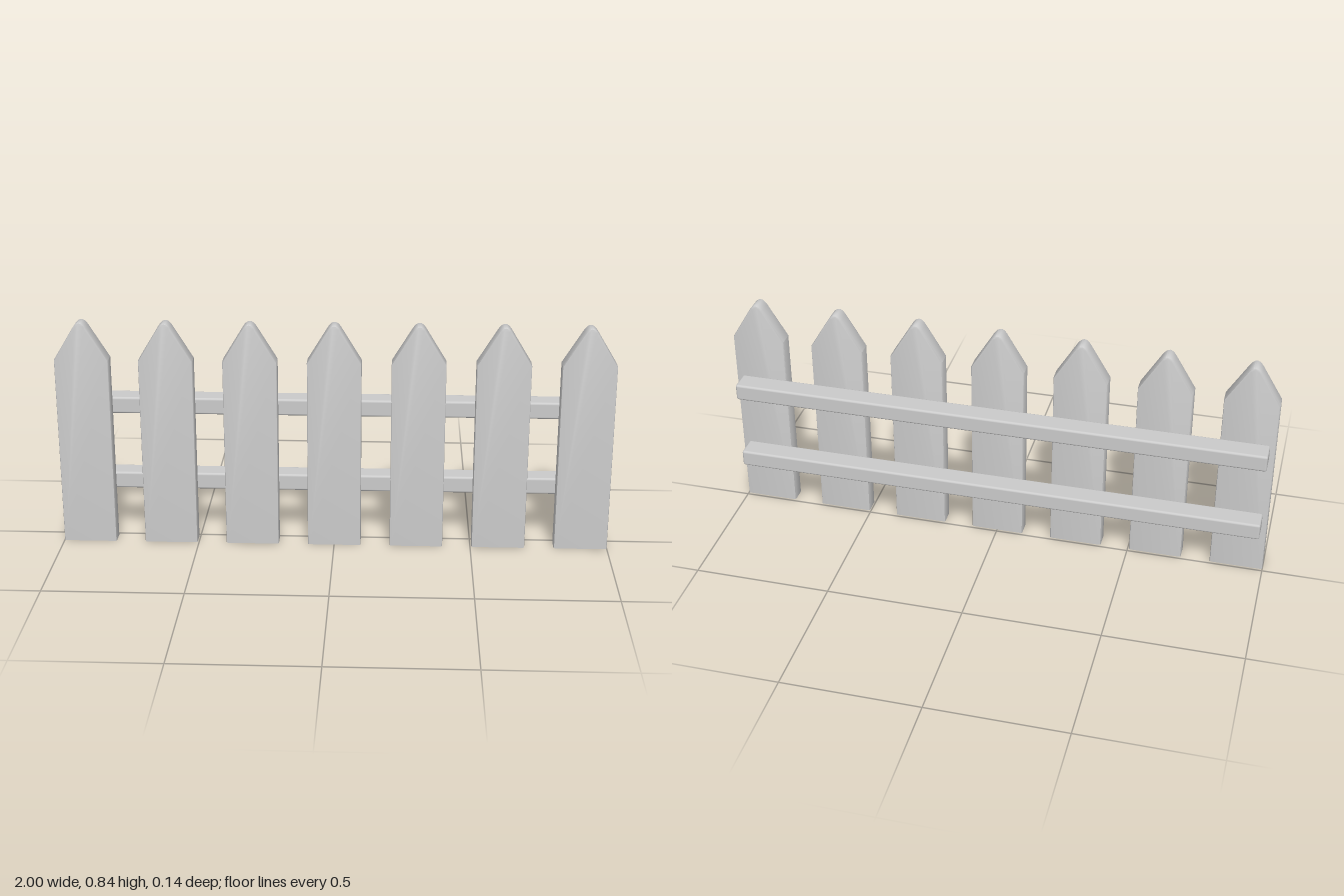
import * as THREE from 'three';
import { toCreasedNormals } from 'three/addons/utils/BufferGeometryUtils.js';
import { RoundedBoxGeometry } from 'three/addons/geometries/RoundedBoxGeometry.js';

const PICKETS = 7, SPACING = 0.301, HALF_WIDTH = 0.097;
const BACK = 0.01, FRONT = 0.072, BEVEL = 0.006;

// Pointed board with a rounded tip, softened edges and a flat foot
function picketGeometry() {
  const shape = new THREE.Shape();
  shape.moveTo(-HALF_WIDTH, -BEVEL);
  shape.lineTo(HALF_WIDTH, -BEVEL);
  shape.lineTo(HALF_WIDTH, 0.70);
  shape.lineTo(0.024, 0.82);
  shape.quadraticCurveTo(0, 0.858, -0.024, 0.82);
  shape.lineTo(-HALF_WIDTH, 0.70);
  shape.closePath();
  const geometry = new THREE.ExtrudeGeometry(shape, {
    depth: FRONT - BACK - 2 * BEVEL,
    bevelThickness: BEVEL,
    bevelSize: BEVEL,
    bevelOffset: -BEVEL,
    bevelSegments: 2,
    curveSegments: 8,
  });
  geometry.translate(0, 0, BACK + BEVEL);
  // Flatten the bevel at the foot onto the ground
  const position = geometry.attributes.position;
  for (let i = 0; i < position.count; i++) {
    position.setY(i, Math.max(0, position.getY(i)));
  }
  return toCreasedNormals(geometry, 0.6);
}

export function createModel() {
  const fence = new THREE.Group();
  fence.name = 'picketFence';
  const material = new THREE.MeshStandardMaterial({ color: 0xcccccc });

  // Upright boards
  const picket = picketGeometry();
  for (let i = 0; i < PICKETS; i++) {
    const mesh = new THREE.Mesh(picket, material);
    mesh.name = `picket${i + 1}`;
    mesh.position.x = (i - (PICKETS - 1) / 2) * SPACING;
    fence.add(mesh);
  }

  // Horizontal rails behind the boards
  const rail = new RoundedBoxGeometry(1.956, 0.062, 0.082, 3, 0.008);
  for (const [name, y] of [['lowerRail', 0.219], ['upperRail', 0.511]]) {
    const mesh = new THREE.Mesh(rail, material);
    mesh.name = name;
    mesh.position.set(-0.003, y, -0.031);
    fence.add(mesh);
  }
  return fence;
}
